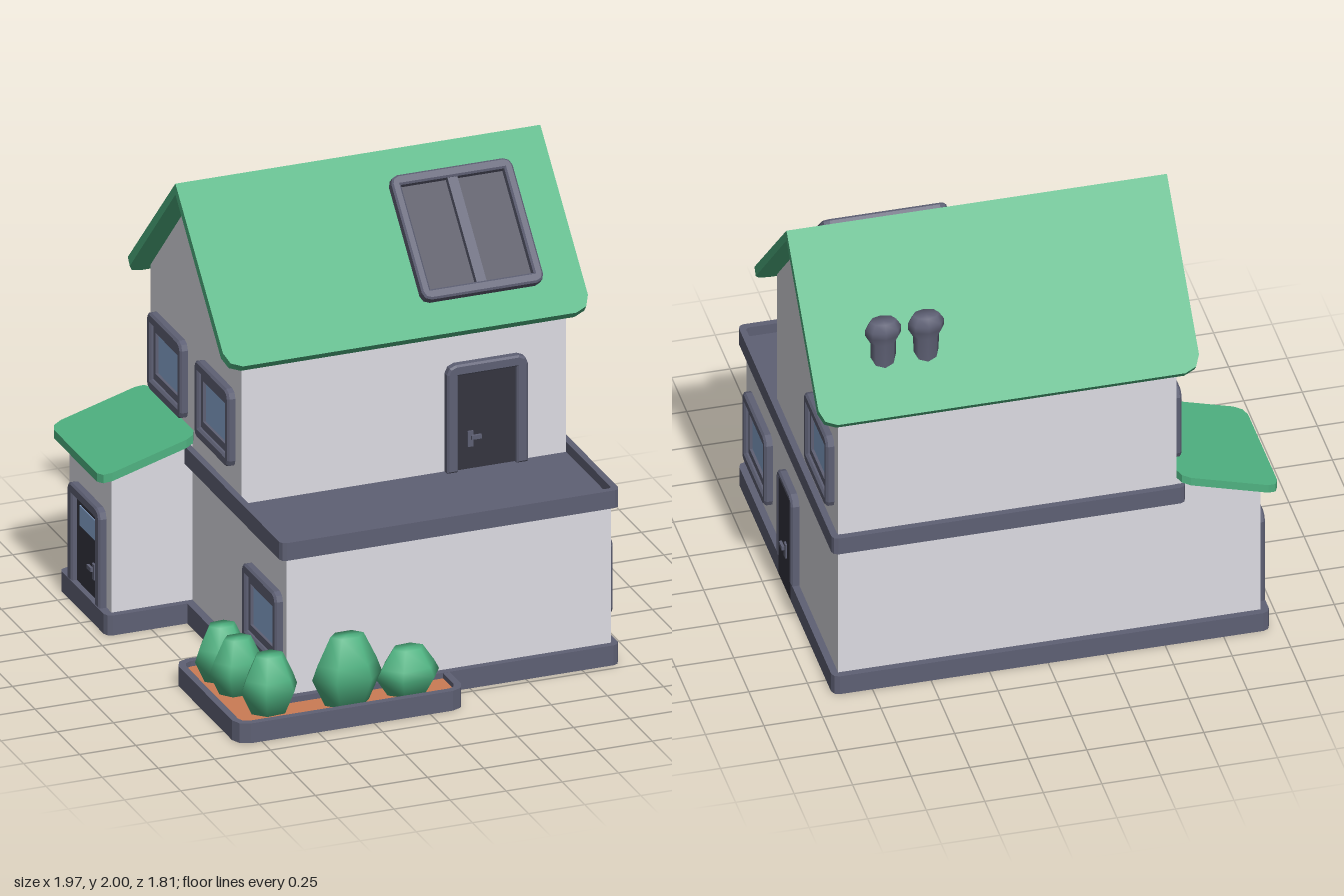
import * as THREE from 'three';

const mat = (name, color, extra = {}) => Object.assign(new THREE.MeshStandardMaterial({ color, ...extra }), { name });

export function createModel() {
  const wall = mat('wall', 0xdcdbe2);
  const slate = mat('slate', 0x5e6074);
  const green = mat('green', 0x4fb281);
  const dark = mat('door', 0x34343f);
  const glass = mat('glass', 0x8aa8d2);
  const soil = mat('soil', 0xcb7c55);
  const panel = mat('panel', 0x4a4a5a);

  const house = new THREE.Group();
  house.name = 'house';

  const add = (parent, name, geo, material, x = 0, y = 0, z = 0) => {
    const m = new THREE.Mesh(geo, material);
    m.name = name;
    m.position.set(x, y, z);
    parent.add(m);
    return m;
  };
  const box = (parent, name, material, x0, x1, y0, y1, z0, z1) =>
    add(parent, name, new THREE.BoxGeometry(x1 - x0, y1 - y0, z1 - z0), material,
      (x0 + x1) / 2, (y0 + y1) / 2, (z0 + z1) / 2);
  const poly = (pts) => pts.map(([x, y]) => new THREE.Vector2(x, y));

  // rectangle outline, lower and upper corners cut by cLow and cHigh
  const rect = (x0, x1, y0, y1, cLow = 0, cHigh = cLow) => {
    const corner = (x, y, sx, sy, c, flip) => {
      if (!c) return [[x, y]];
      const k = c * 0.3;
      const p = [[x, y + sy * c], [x + sx * k, y + sy * k], [x + sx * c, y]];
      return flip ? p.reverse() : p;
    };
    return poly([
      ...corner(x0, y0, 1, 1, cLow, false), ...corner(x1, y0, -1, 1, cLow, true),
      ...corner(x1, y1, -1, -1, cHigh, false), ...corner(x0, y1, 1, -1, cHigh, true),
    ]);
  };
  const extrude = (outline, depth, hole, bevel = 0) => {
    const s = new THREE.Shape(outline);
    if (hole) s.holes.push(new THREE.Path(hole));
    const g = new THREE.ExtrudeGeometry(s, {
      depth: depth - bevel, bevelEnabled: bevel > 0, bevelSize: bevel,
      bevelThickness: bevel, bevelOffset: -bevel, bevelSegments: 1,
    });
    return g;
  };
  // horizontal slab, optionally a hollow ring with the given rim width
  const slab = (x0, x1, z0, z1, y0, y1, cut, rim = 0) => {
    const hole = rim ? rect(x0 + rim, x1 - rim, -z1 + rim, -z0 - rim, cut * 0.6) : null;
    return extrude(rect(x0, x1, -z1, -z0, cut), y1 - y0, hole).rotateX(-Math.PI / 2).translate(0, y0, 0);
  };

  // foundations
  add(house, 'foundation', slab(-0.59, 0.92, -0.86, 0.72, 0, 0.09, 0.03), slate);
  add(house, 'porchFoundation', slab(-0.95, -0.5, -0.86, -0.33, 0, 0.09, 0.03), slate);

  // planter with soil
  add(house, 'planterRim', slab(-0.86, 0.16, 0.19, 0.905, 0, 0.089, 0.06, 0.03), slate);
  box(house, 'planterBase', slate, -0.84, 0.14, 0.002, 0.03, 0.21, 0.885);
  box(house, 'soil', soil, -0.84, 0.14, 0.03, 0.065, 0.21, 0.885);

  // bushes: x, z, radius in x, radius in z, top
  const bushProfile = poly([[0, 0], [0.6, 0], [1, 0.42], [0.85, 0.62], [0.48, 1], [0, 1]]);
  [[-0.72, 0.38, 0.125, 0.09, 0.31], [-0.71, 0.53, 0.125, 0.09, 0.31], [-0.66, 0.76, 0.13, 0.1, 0.32],
    [-0.33, 0.8, 0.155, 0.095, 0.37], [-0.055, 0.79, 0.145, 0.095, 0.265]].forEach(([x, z, rx, rz, top], i) => {
    const g = new THREE.LatheGeometry(bushProfile, 6).rotateY(Math.PI / 6 * (i % 2 ? 1 : 1.25));
    add(house, 'bush', g, green, x, 0.055, z).scale.set(rx, top - 0.055, rz);
  });

  // ground floor, balcony floor and its rim
  box(house, 'groundFloor', wall, -0.555, 0.89, 0.08, 0.72, -0.83, 0.69);
  add(house, 'balconyRim', slab(-0.59, 0.92, -0.86, 0.72, 0.71, 0.79, 0.025, 0.028), slate);
  box(house, 'balconyFloor', slate, -0.57, 0.9, 0.712, 0.745, -0.84, 0.7);

  // upper floor with gables
  const gable = poly([[-0.185, 0.74], [0.83, 0.74], [0.83, 1.41], [0.325, 1.94], [-0.185, 1.41]]);
  add(house, 'upperFloor', extrude(gable, 1.445).rotateY(Math.PI / 2), wall, -0.555);

  // main roof: a cut-corner sheet bent onto each slope, mitred at the ridge
  const run = 0.58, drop = 0.6, L = Math.hypot(run, drop), t = 0.05;
  for (const turn of [0, Math.PI]) {
    const g = extrude(rect(-0.8125, 0.8125, -L, 0, 0.07, 0), t);
    const p = g.attributes.position;
    for (let i = 0; i < p.count; i++) {
      const f = -p.getY(i) / L, d = t - p.getZ(i);
      p.setXYZ(i, p.getX(i), 2 - f * drop - d * (1 - 0.4 * f), f * run - d * 0.5 * f);
    }
    g.computeVertexNormals();
    add(house, 'roofSlope', g, green, 0.1675, 0, -0.325).rotation.y = turn;
  }

  // roof window
  const sky = new THREE.Group();
  sky.name = 'roofWindow';
  sky.position.set(0.53, 1.705, -0.04);
  sky.rotation.x = -Math.atan2(run, drop);
  house.add(sky);
  add(sky, 'roofWindowFrame',
    extrude(rect(-0.27, 0.27, -0.28, 0.28, 0.035), 0.045, rect(-0.23, 0.23, -0.235, 0.235), 0.008), slate);
  box(sky, 'roofWindowPane', panel, -0.235, 0.235, -0.24, 0.24, -0.01, 0.008);
  box(sky, 'roofWindowBar', slate, -0.022, 0.022, -0.24, 0.24, 0, 0.035);

  // chimney pots
  const pot = poly([[0.036, 1.48], [0.038, 1.66], [0.053, 1.7], [0.053, 1.73], [0.038, 1.765], [0, 1.765]]);
  for (const x of [0.487, 0.67])
    add(house, 'chimney', new THREE.LatheGeometry(pot, 8), slate, x, 0, -0.725).scale.x = 1.45;

  // porch with lean-to roof
  const porch = poly([[-0.915, 0.08], [-0.55, 0.08], [-0.55, 0.82], [-0.915, 0.72]]);
  add(house, 'porch', extrude(porch, 0.47), wall, 0, 0, -0.83);
  const lean = slab(-0.985, -0.555, -0.88, -0.3, 0, 0.038, 0.05);
  const lp = lean.attributes.position;
  for (let i = 0; i < lp.count; i++) lp.setY(i, lp.getY(i) + 0.698 + (lp.getX(i) + 0.985) * 0.29);
  lean.computeVertexNormals();
  add(house, 'porchRoof', lean, green);

  // openings are built facing +z, then turned onto their wall
  const place = (name, x, y, z, turn) => {
    const g = new THREE.Group();
    g.name = name;
    g.position.set(x, y, z);
    g.rotation.y = turn;
    house.add(g);
    return g;
  };
  const addWindow = (x, y, z, turn) => {
    const g = place('window', x, y, z, turn);
    add(g, 'windowFrame',
      extrude(rect(-0.19, 0.19, -0.175, 0.175, 0.035), 0.036, rect(-0.15, 0.15, -0.125, 0.125), 0.009), slate);
    add(g, 'windowSash', extrude(rect(-0.155, 0.155, -0.13, 0.13), 0.018, rect(-0.128, 0.128, -0.092, 0.092)), slate);
    box(g, 'windowGlass', glass, -0.13, 0.13, -0.095, 0.095, 0, 0.006);
  };
  const addDoor = (name, x, y, z, turn, w, h, bar, side, step = 0) => {
    const g = place(name, x, y, z, turn);
    const a = w / 2, b = a - bar;
    const outline = rect(-a, a, 0, h, 0, 0.04);
    const arch = poly([[-b, 0], [-b, h - bar], [b, h - bar], [b, 0]]);
    const frame = poly([[-a, 0], ...arch.map((v) => [v.x, v.y]), [a, 0],
      ...outline.slice(2).map((v) => [v.x, v.y])]);
    add(g, 'doorFrame', extrude(frame, 0.036, null, 0.008), slate);
    // the leaf may reach down across the foundation
    box(g, 'doorLeaf', dark, -b - 0.005, b + 0.005, -step, h - bar + 0.005, 0, step ? 0.033 : 0.01);
    const hz = step ? 0.033 : 0.01, hx = side * (b - 0.06), hy = h * 0.28;
    box(g, 'handlePlate', slate, hx - 0.013, hx + 0.013, hy - 0.035, hy + 0.035, hz, hz + 0.008);
    box(g, 'handle', slate, Math.min(hx, hx - side * 0.045), Math.max(hx, hx - side * 0.045),
      hy, hy + 0.018, hz + 0.008, hz + 0.02);
    return g;
  };

  const R = Math.PI / 2;
  addWindow(0.889, 0.355, 0.44, R);
  addWindow(0.889, 1.055, -0.58, R);
  addWindow(-0.554, 0.355, 0.46, -R);
  addWindow(-0.554, 1.055, -0.6, -R);
  addWindow(-0.554, 1.055, -0.07, -R);
  addDoor('balconyDoor', 0.53, 0.745, 0.184, 0, 0.36, 0.485, 0.05, -1);
  addDoor('sideDoor', 0.889, 0.09, -0.065, R, 0.25, 0.44, 0.032, 1, 0.085);
  const front = addDoor('porchDoor', -0.914, 0.085, -0.595, -R, 0.36, 0.445, 0.05, 1);
  box(front, 'doorGlass', glass, -0.09, 0.09, 0.27, 0.36, 0.01, 0.015);

  return house;
}
